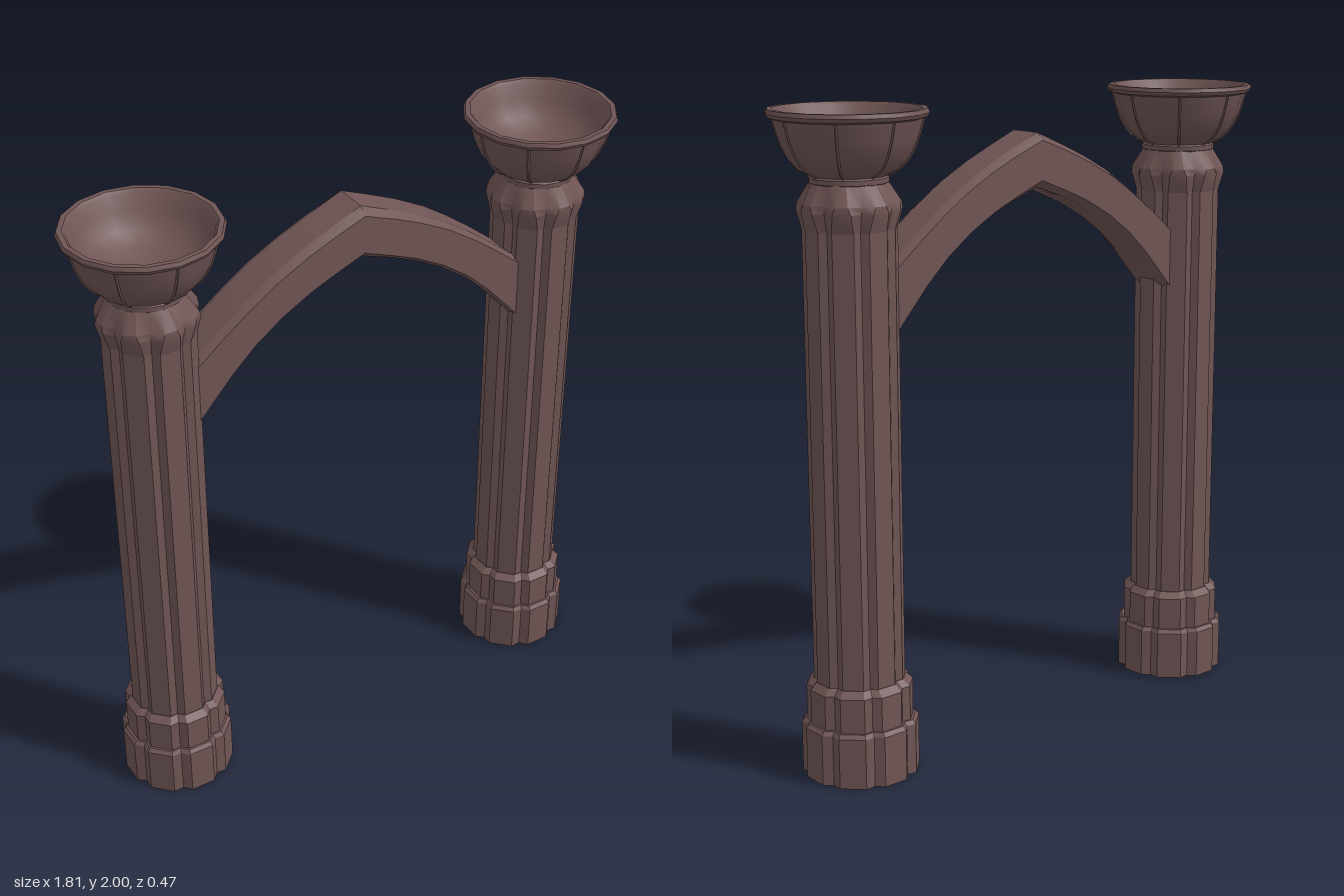
import * as THREE from 'three';
import { toCreasedNormals } from 'three/addons/utils/BufferGeometryUtils.js';

const material = new THREE.MeshStandardMaterial({ color: 0x705555 });
const PILLAR_X = 0.67;

function addMesh(parent, geometry, name, crease = 0.5) {
  const mesh = new THREE.Mesh(toCreasedNormals(geometry, crease), material);
  mesh.name = name;
  parent.add(mesh);
  return mesh;
}

// Skins equal-length closed sections (arrays of Vector3) and caps both ends.
function loft(sections) {
  const n = sections[0].length, pos = [], index = [];
  sections.forEach(s => s.forEach(p => pos.push(p.x, p.y, p.z)));
  for (let i = 0; i < sections.length - 1; i++) {
    for (let j = 0; j < n; j++) {
      const a = i * n + j, b = i * n + (j + 1) % n;
      index.push(a, b, a + n, b, b + n, a + n);
    }
  }
  [0, sections.length - 1].forEach((s, end) => {
    const c = pos.length / 3;
    const mid = sections[s].reduce((m, p) => m.add(p), new THREE.Vector3()).divideScalar(n);
    pos.push(mid.x, mid.y, mid.z);
    for (let j = 0; j < n; j++) {
      const a = s * n + j, b = s * n + (j + 1) % n;
      if (end) index.push(c, a, b); else index.push(c, b, a);
    }
  });
  const g = new THREE.BufferGeometry();
  g.setAttribute('position', new THREE.Float32BufferAttribute(pos, 3));
  g.setIndex(index);
  g.computeVertexNormals();
  return g;
}

// Eight flat lobes with a groove between neighbours; runs counter-clockwise from above.
function lobedSection(y, radius, groove, half = 13) {
  const pts = [];
  for (let k = 0; k < 8; k++) {
    [[-half, 1], [half, 1], [22.5, groove]].forEach(([deg, f]) => {
      const a = THREE.MathUtils.degToRad(k * 45 + deg);
      pts.push(new THREE.Vector3(Math.cos(a) * radius * f, y, -Math.sin(a) * radius * f));
    });
  }
  return pts;
}
const lobed = rows => loft(rows.map(r => lobedSection(...r)));

function createPillar() {
  const pillar = new THREE.Group();

  // Stepped foot
  addMesh(pillar, lobed([[0, 0.178, 0.91], [0.158, 0.178, 0.91], [0.17, 0.168, 0.91]]), 'lowerBase');
  addMesh(pillar, lobed([[0.165, 0.161, 0.91], [0.277, 0.161, 0.91], [0.297, 0.14, 0.91]]), 'upperBase');

  // Fluted shaft swelling into the capital, lobes narrowing to points
  addMesh(pillar, lobed([[0.28, 0.138, 0.9], [1.66, 0.138, 0.9]]), 'shaft');
  addMesh(pillar, lobed([
    [1.66, 0.138, 0.9, 13], [1.715, 0.153, 0.9, 10], [1.735, 0.15, 0.91, 7], [1.795, 0.112, 0.99, 5],
  ]), 'capital', 0.4);

  // Neck ring
  addMesh(pillar, new THREE.LatheGeometry([
    [0, 1.785], [0.108, 1.785], [0.117, 1.792], [0.117, 1.806], [0.108, 1.814], [0, 1.814],
  ].map(p => new THREE.Vector2(...p)), 16, Math.PI / 2), 'neckRing');

  // Hollow bowl with rolled rim
  const outer = [[0.106, 1.808], [0.145, 1.828], [0.178, 1.865], [0.2, 1.915], [0.216, 1.972]];
  const rim = [[0.229, 1.977], [0.235, 1.988], [0.23, 2], [0.215, 2], [0.206, 1.99]];
  const inner = [[0.19, 1.945], [0.158, 1.9], [0.11, 1.868], [0.055, 1.852], [0, 1.848]];
  addMesh(pillar, new THREE.LatheGeometry(
    [[0, 1.808], ...outer, ...rim, ...inner].map(p => new THREE.Vector2(...p)), 16, Math.PI / 2), 'bowl', 0.6);

  // Slender ribs following the bowl's outside
  const path = new THREE.CatmullRomCurve3(outer.map(([r, y]) => new THREE.Vector3(r, y, 0)));
  const rib = new THREE.TubeGeometry(path, 8, 0.004, 4, false);
  for (let k = 0; k < 8; k++) {
    addMesh(pillar, rib.clone().rotateY(k * Math.PI / 4), 'bowlRib');
  }
  return pillar;
}

// Chamfered slice across the arch between a lower and an upper edge point
function archSection(x, low, high, slope) {
  const d = 0.08, cz = 0.026, cy = 0.022;
  const lean = slope * cy * 0.4;
  return [
    [low, -d + cz, 0], [low + cy, -d, -lean], [high - cy, -d, lean], [high, -d + cz, 0],
    [high, d - cz, 0], [high - cy, d, lean], [low + cy, d, -lean], [low, d - cz, 0],
  ].map(([y, z, dx]) => new THREE.Vector3(x + dx, y, z));
}

function createArch() {
  // Half profile from springing to apex: x, lower edge, upper edge
  const half = [
    [-0.64, 1.25, 1.49], [-0.56, 1.345, 1.555], [-0.46, 1.455, 1.635], [-0.38, 1.53, 1.695],
    [-0.29, 1.595, 1.755], [-0.19, 1.65, 1.808], [-0.1, 1.688, 1.848], [0, 1.724, 1.89],
  ];
  const rows = [...half, ...half.slice(0, -1).reverse().map(([x, l, h]) => [-x, l, h])];
  return loft(rows.map(([x, l, h]) => archSection(x, l, h, Math.sign(x))));
}

export function createModel() {
  const model = new THREE.Group();
  model.name = 'archway';
  for (const side of [1, -1]) {
    const pillar = createPillar();
    pillar.name = side > 0 ? 'leftPillar' : 'rightPillar';
    pillar.position.x = side * PILLAR_X;
    model.add(pillar);
  }
  addMesh(model, createArch(), 'pointedArch', 0.35);
  return model;
}
